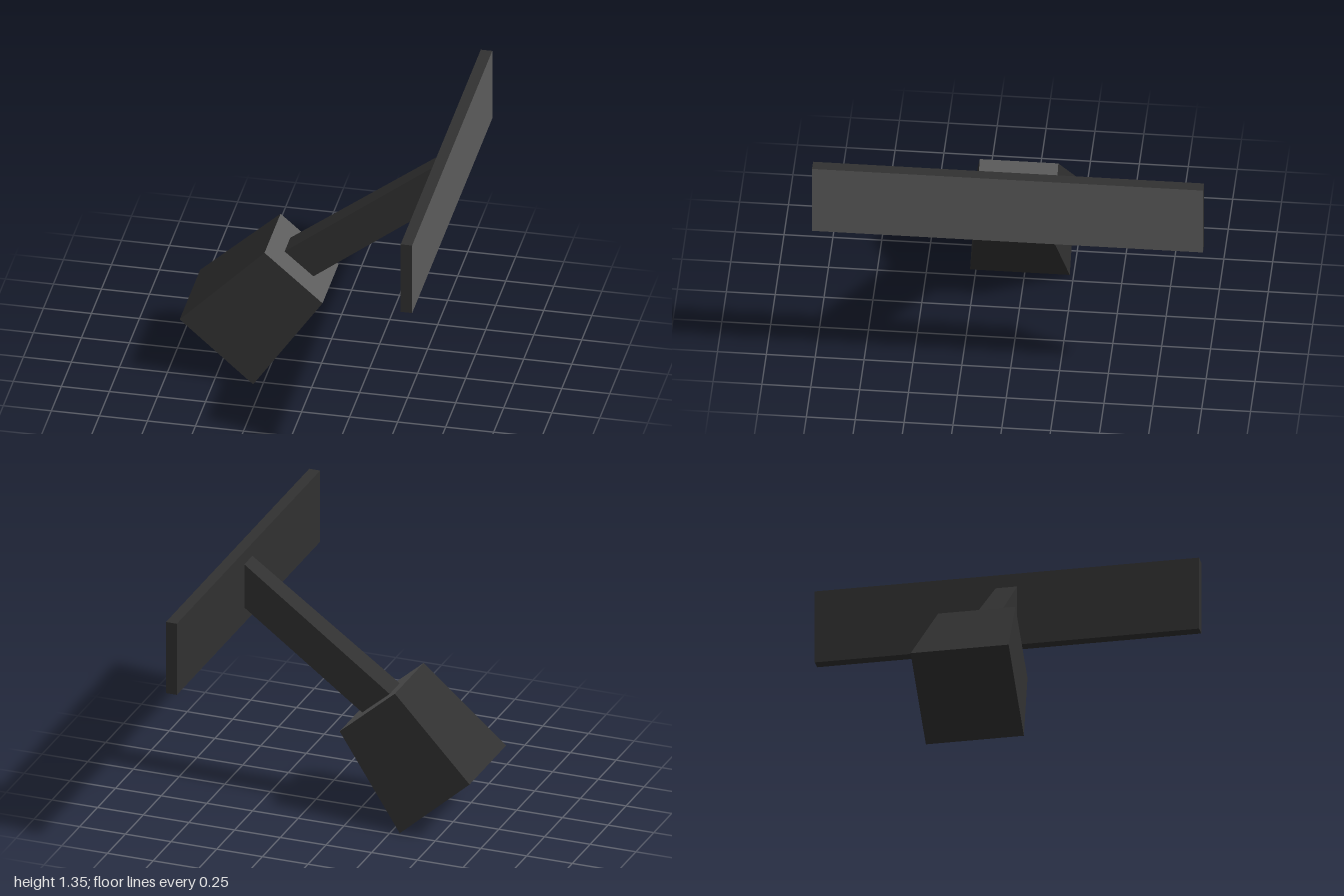
import * as THREE from 'three';

const dark = new THREE.MeshStandardMaterial({ color: 0x313131 });
dark.name = 'charcoal';
const grey = new THREE.MeshStandardMaterial({ color: 0x5c5c5c });
grey.name = 'mid grey';

// A box whose eight corners are moved: c = { 'x sign, y sign': [x, y, zBack, zFront] }
function block(name, c, materials) {
  const geo = new THREE.BoxGeometry(1, 1, 1);
  const p = geo.attributes.position;
  for (let i = 0; i < p.count; i++) {
    const key = (p.getX(i) > 0 ? 'right' : 'left') + (p.getY(i) > 0 ? 'Top' : 'Bottom');
    const [x, y, zBack, zFront] = c[key];
    p.setXYZ(i, x, y, p.getZ(i) > 0 ? zFront : zBack);
  }
  geo.computeVertexNormals();
  const mesh = new THREE.Mesh(geo, materials);
  mesh.name = name;
  return mesh;
}

export function createModel() {
  const group = new THREE.Group();
  group.name = 'bracketModel';

  // Tapered, tilted head with a lighter upper face
  group.add(block('head', {
    leftTop: [-0.25, 0.752, -0.176, 0.226],
    rightTop: [0.052, 0.49, -0.176, 0.226],
    leftBottom: [-0.68, 0.338, -0.23, 0.28],
    rightBottom: [-0.298, 0, -0.23, 0.28],
  }, [dark, dark, grey, dark, dark, dark]));

  // Slanted arm, a little wider where it meets the head
  group.add(block('arm', {
    leftTop: [-0.175, 0.687, -0.058, 0.083],
    rightTop: [0.62, 1.28, -0.058, 0.054],
    leftBottom: [-0.025, 0.558, -0.058, 0.083],
    rightBottom: [0.62, 1.038, -0.058, 0.054],
  }, dark));

  // Long upright plate with a lighter outer face
  group.add(block('plate', {
    leftTop: [0.62, 1.352, -1, 1],
    rightTop: [0.68, 1.352, -1, 1],
    leftBottom: [0.62, 0.953, -1, 1],
    rightBottom: [0.68, 0.953, -1, 1],
  }, [grey, dark, dark, dark, dark, dark]));

  return group;
}
